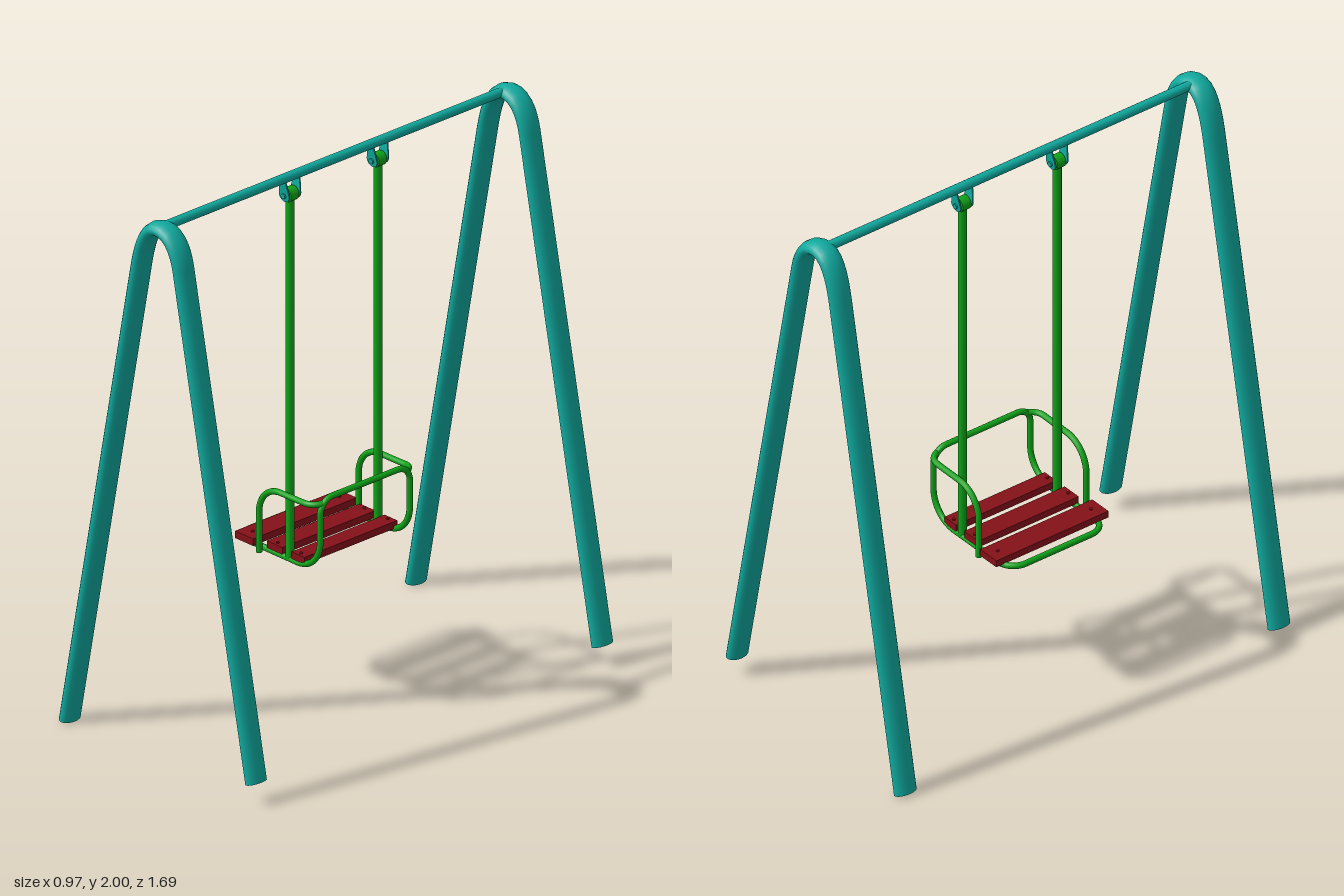
import * as THREE from 'three';
import { mergeGeometries } from 'three/addons/utils/BufferGeometryUtils.js';

const V = (x, y, z) => new THREE.Vector3(x, y, z);
const teal = new THREE.MeshStandardMaterial({ color: 0x0fa99e });
const green = new THREE.MeshStandardMaterial({ color: 0x0fa318 });
const red = new THREE.MeshStandardMaterial({ color: 0x851018 });

// path of straight runs whose corners are rounded off
function roundedPath(pts, r) {
  const path = new THREE.CurvePath();
  let from = pts[0];
  for (let i = 1; i < pts.length - 1; i++) {
    const p = pts[i];
    const a = p.clone().add(pts[i - 1].clone().sub(p).setLength(r));
    const b = p.clone().add(pts[i + 1].clone().sub(p).setLength(r));
    path.add(new THREE.LineCurve3(from, a));
    path.add(new THREE.CubicBezierCurve3(a, a.clone().lerp(p, 0.56), b.clone().lerp(p, 0.56), b));
    from = b;
  }
  path.add(new THREE.LineCurve3(from, pts[pts.length - 1]));
  return path;
}

// tube with flat ends
function cappedTube(path, radius, segments, sides) {
  const parts = [new THREE.TubeGeometry(path, segments, radius, sides)];
  for (const [t, s] of [[0, -1], [1, 1]]) {
    const cap = new THREE.CircleGeometry(radius, sides);
    const dir = path.getTangentAt(t).multiplyScalar(s);
    cap.applyQuaternion(new THREE.Quaternion().setFromUnitVectors(V(0, 0, 1), dir));
    const p = path.getPointAt(t);
    parts.push(cap.translate(p.x, p.y, p.z));
  }
  return mergeGeometries(parts);
}

export function createModel() {
  const model = new THREE.Group();
  const add = (name, geo, mat, x = 0, y = 0, z = 0, parent = model) => {
    const mesh = new THREE.Mesh(geo, mat);
    mesh.name = name;
    mesh.position.set(x, y, z);
    parent.add(mesh);
    return mesh;
  };

  // bent end frames with an oval section, one leg a little shorter
  const bend = new THREE.CurvePath();
  const l = V(-0.105, 1.82, 0), r = V(0.098, 1.86, 0), top = V(-0.005, 1.975, 0);
  bend.add(new THREE.LineCurve3(V(-0.459, 0.006, 0), l));
  bend.add(new THREE.CubicBezierCurve3(l, V(-0.09, 1.89, 0), V(-0.065, 1.975, 0), top));
  bend.add(new THREE.CubicBezierCurve3(top, V(0.05, 1.975, 0), V(0.083, 1.93, 0), r));
  bend.add(new THREE.LineCurve3(r, V(0.455, 0.078, 0)));
  const legGeo = cappedTube(bend, 0.026, 160, 20).scale(1, 1, 1.7);
  for (const z of [-0.8, 0.8]) add('endFrame', legGeo, teal, 0, 0, z);

  // top crossbar
  add('crossbar', new THREE.CylinderGeometry(0.017, 0.017, 1.58, 16).rotateX(Math.PI / 2), teal, -0.01, 1.978, 0);

  // hanger brackets: a pair of cheeks that splay out under the crossbar
  const cheek = new THREE.Shape();
  cheek.moveTo(-0.014, 0.055);
  cheek.lineTo(-0.025, 0);
  cheek.absarc(0, 0, 0.025, Math.PI, Math.PI * 2);
  cheek.lineTo(0.014, 0.055);
  const cheekGeo = new THREE.ExtrudeGeometry(cheek, { depth: 0.005, bevelEnabled: false, curveSegments: 8 });
  cheekGeo.translate(0, 0, -0.0025);
  const swing = new THREE.Group();
  swing.name = 'swing';
  model.add(swing);
  for (const s of [-1, 1]) {
    const z = 0.203 * s;
    for (const k of [-1, 1]) {
      add('bracketCheek', cheekGeo, teal, -0.012, 1.915, z + 0.026 * k).rotation.x = 0.12 * k;
    }
    add('pivotPin', new THREE.CylinderGeometry(0.01, 0.01, 0.068, 10).rotateX(Math.PI / 2), teal, -0.012, 1.912, z);
    // eye and hanging rod
    add('rodEye', new THREE.CylinderGeometry(0.026, 0.026, 0.036, 14).rotateX(Math.PI / 2), green, -0.012, 1.912, z, swing);
    add('hangingRod', new THREE.CylinderGeometry(0.0155, 0.0155, 1.345, 12), green, -0.012, 1.2275, z, swing);

    // armrest rises beside the seat and turns in to meet the backrest
    const arm = roundedPath([
      V(-0.135, 0.55, 0.23 * s), V(-0.135, 0.803, 0.23 * s),
      V(0.1, 0.806, 0.23 * s), V(0.14, 0.81, 0.195 * s)], 0.025);
    arm.curves = roundedPath([
      V(-0.135, 0.55, 0.23 * s), V(-0.135, 0.803, 0.23 * s), V(0.06, 0.805, 0.23 * s)], 0.105).curves;
    arm.add(new THREE.LineCurve3(V(0.06, 0.805, 0.23 * s), V(0.09, 0.806, 0.23 * s)));
    arm.add(new THREE.QuadraticBezierCurve3(
      V(0.09, 0.806, 0.23 * s), V(0.125, 0.808, 0.23 * s), V(0.14, 0.81, 0.195 * s)));
    add('armrest', cappedTube(arm, 0.011, 70, 10), green, 0, 0, 0, swing);
  }

  // seat and backrest from one bent loop
  const w = 0.207, y = 0.56, b = 0.14, h = 0.826;
  const loop = new THREE.CurvePath();
  const half = (s) => {
    const path = roundedPath([V(-0.277, y, 0), V(-0.277, y, w * s), V(-0.1, y, w * s)], 0.065);
    path.curves.push(...roundedPath([V(-0.1, y, w * s), V(b, y, w * s), V(b, 0.74, w * s)], 0.11).curves);
    path.curves.push(...roundedPath([V(b, 0.74, w * s), V(b, h, w * s), V(b, h, 0)], 0.055).curves);
    return path;
  };
  for (const s of [-1, 1]) add('seatLoop', new THREE.TubeGeometry(half(s), 110, 0.011, 10), green, 0, 0, 0, swing);

  // wooden slats with bolts
  for (const [x0, x1, len] of [[-0.243, -0.155, 0.48], [-0.113, -0.037, 0.43], [0.008, 0.071, 0.43]]) {
    const x = (x0 + x1) / 2;
    add('slat', new THREE.BoxGeometry(x1 - x0, 0.026, len), red, x, 0.581, 0, swing);
    for (const z of [-0.2, 0.2]) {
      add('slatBolt', new THREE.CylinderGeometry(0.006, 0.006, 0.006, 8), red, x, 0.595, z, swing);
    }
  }
  return model;
}
